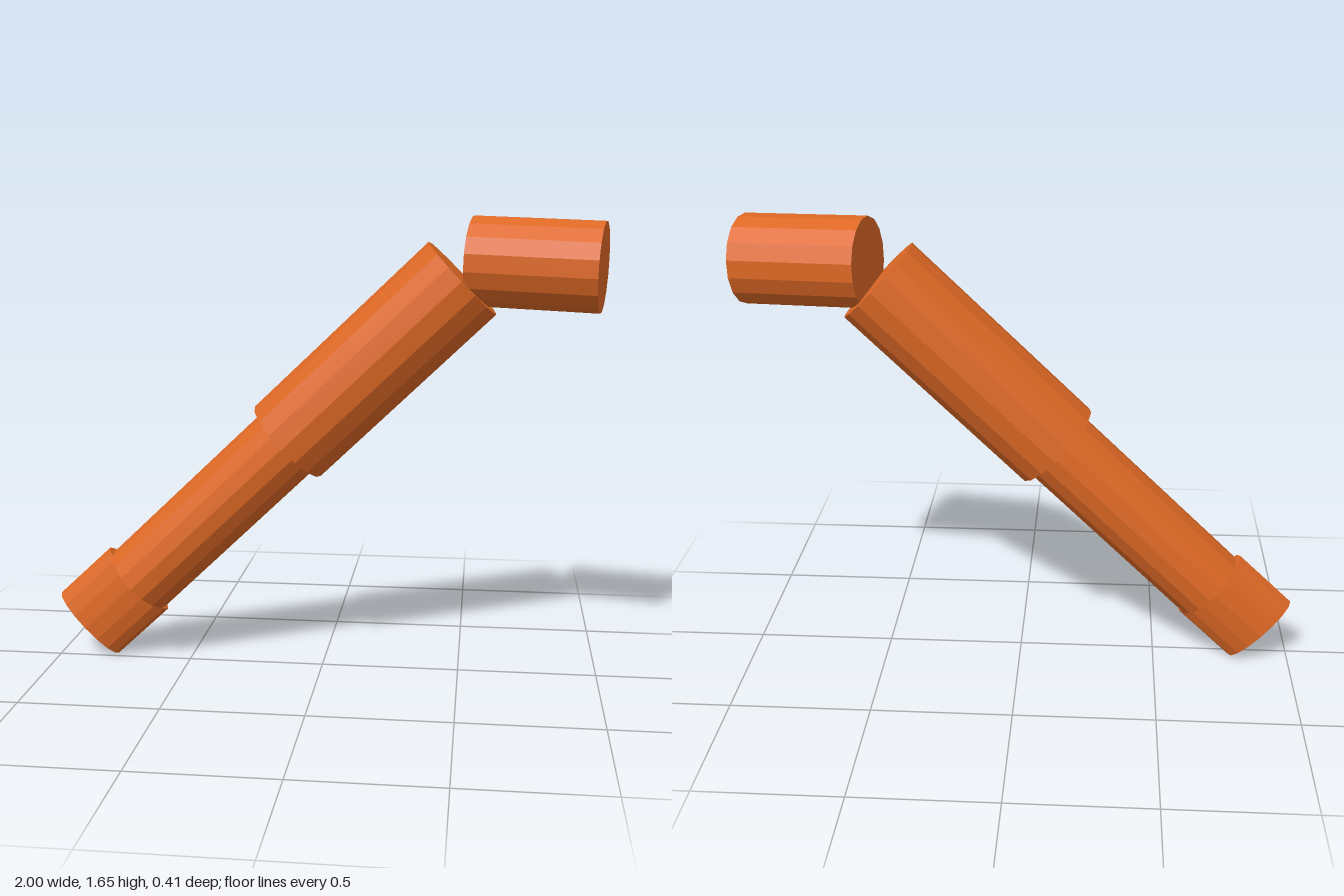
import * as THREE from 'three';

const orange = new THREE.MeshStandardMaterial({ color: 0xdd6825, flatShading: true });
orange.name = 'orange';

// Sixteen-sided closed cylinder between two points; depth squashes it along z
function segment(name, from, to, radius, depth = radius) {
  const a = new THREE.Vector3(...from);
  const b = new THREE.Vector3(...to);
  const axis = b.clone().sub(a);
  const geometry = new THREE.CylinderGeometry(radius, radius, axis.length(), 16);
  geometry.scale(1, 1, depth / radius);
  const mesh = new THREE.Mesh(geometry, orange);
  mesh.name = name;
  mesh.position.copy(a).add(b).multiplyScalar(0.5);
  mesh.quaternion.setFromUnitVectors(new THREE.Vector3(0, 1, 0), axis.normalize());
  return mesh;
}

export function createModel() {
  const arm = new THREE.Group();
  arm.name = 'arm';
  const z = -0.035;
  arm.add(
    // Flattened hand at the low end
    segment('hand', [-0.892, 0.12, z], [-0.698, 0.302, z], 0.158, 0.07),
    segment('forearm', [-0.695, 0.299, z], [-0.13, 0.84, z], 0.14),
    segment('upperArm', [-0.13, 0.84, z], [0.49, 1.435, z], 0.174),
    // Shoulder turned slightly towards the front
    segment('shoulder', [0.523, 1.496, z], [0.968, 1.482, 0.05], 0.158),
  );
  return arm;
}
